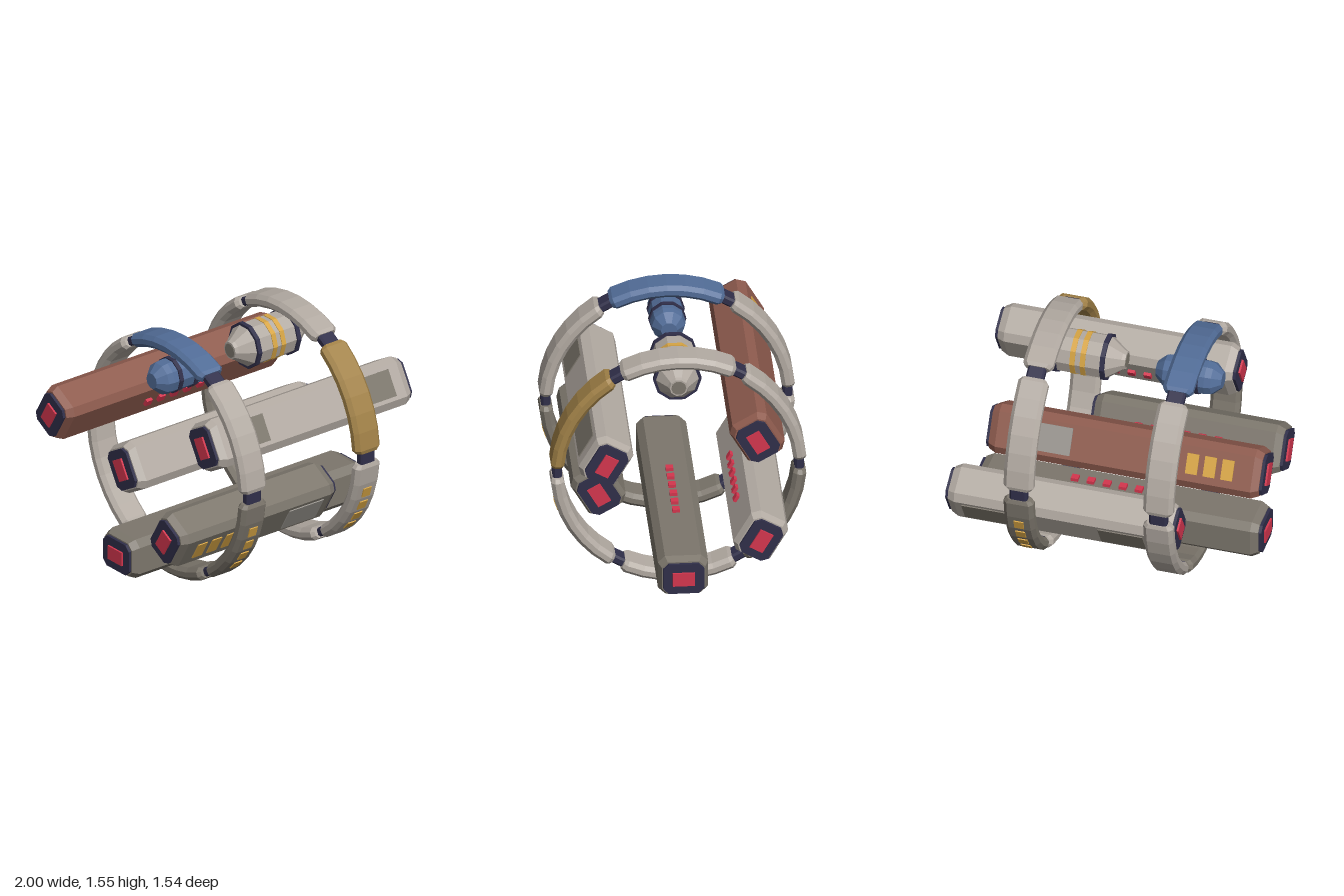
import * as THREE from 'three';

const mat = (name, color) => Object.assign(new THREE.MeshStandardMaterial({ color }), { name });
const M = {
  light: mat('pale hull', 0xb2aaa2),
  dark: mat('dark hull', 0x7c766c),
  rust: mat('rust hull', 0x8e5b4e),
  blue: mat('blue hull', 0x526d98),
  ochre: mat('ochre hull', 0xa28248),
  gold: mat('gold light', 0xd6a444),
  red: mat('red light', 0xd4364e),
  navy: mat('navy joint', 0x302f4a),
  panel: mat('grey panel', 0x98948e),
};
const CY = 0.785; // height of the ring axis
const rad = THREE.MathUtils.degToRad;

// chamfered rectangle, counter-clockwise, half sizes h and w
const octagon = (h, w, c) => [
  [h, c - w], [h, w - c], [h - c, w], [c - h, w],
  [-h, w - c], [-h, c - w], [c - h, -w], [h - c, -w],
];

// skin between equal cross-sections, with flat facets and closed ends
function loft(sections) {
  const n = sections[0].length, pos = [];
  const tri = (...pts) => pts.forEach((p) => pos.push(...p));
  for (let s = 0; s < sections.length - 1; s++) {
    const a = sections[s], b = sections[s + 1];
    for (let i = 0; i < n; i++) {
      const j = (i + 1) % n;
      tri(a[i], a[j], b[j]);
      tri(a[i], b[j], b[i]);
    }
  }
  const first = sections[0], last = sections[sections.length - 1];
  for (let i = 1; i < n - 1; i++) {
    tri(first[0], first[i + 1], first[i]);
    tri(last[0], last[i], last[i + 1]);
  }
  const g = new THREE.BufferGeometry();
  g.setAttribute('position', new THREE.Float32BufferAttribute(pos, 3));
  g.computeVertexNormals();
  return g;
}

function add(parent, name, geometry, material, x = 0, y = 0, z = 0) {
  const m = new THREE.Mesh(geometry, material);
  m.name = name;
  m.position.set(x, y, z);
  parent.add(m);
  return m;
}
const box = (parent, name, material, size, pos) =>
  add(parent, name, new THREE.BoxGeometry(...size), material, ...pos);

// group at an angle around the axis, with local y pointing outward
function radialGroup(parent, name, deg, radius) {
  const g = new THREE.Group(), t = rad(deg);
  g.name = name;
  g.position.set(0, CY + radius * Math.sin(t), radius * Math.cos(t));
  g.rotation.x = Math.PI / 2 - t;
  parent.add(g);
  return g;
}

// curved ring segment with tapered ends
function segmentGeometry(deg) {
  const half = 27.2, inner = 25.4, stations = [[-half, 0.8]];
  for (let i = 0; i <= 6; i++) stations.push([-inner + (i * inner) / 3, 1]);
  stations.push([half, 0.8]);
  return loft(stations.map(([a, s]) => {
    const t = rad(deg + a);
    return octagon(0.04 * s, 0.093 * s, 0.024 * s).map(([r, x]) =>
      [x, (0.73 + r) * Math.sin(t), (0.73 + r) * Math.cos(t)]);
  }));
}

function ring(parent, name, x, colours, lit) {
  const g = new THREE.Group();
  g.name = name;
  g.position.x = x;
  parent.add(g);
  for (let deg = -90; deg < 270; deg += 60) {
    add(g, 'ringSegment', segmentGeometry(deg), colours[deg] || M.light, 0, CY, 0);
    // joint in the gap after the segment
    const joint = radialGroup(g, 'ringJoint', deg + 30, 0.727);
    const ends = [-0.085, 0.085].map((z) =>
      octagon(0.055, 0.028, 0.012).map(([px, py]) => [px, py, z]));
    add(joint, 'jointBar', loft(ends), M.navy);
    // row of lights along the outer face
    if (lit.includes(deg)) for (const off of [-12, -4, 4, 12]) {
      const spot = radialGroup(g, 'ringLight', deg + off, 0.77);
      box(spot, 'lightPlate', M.gold, [0.06, 0.008, 0.066], [0, 0.001, 0]);
    }
  }
}

// long octagonal module from x0 to x1
function longModule(parent, name, { deg, x0, x1, hull, panels = [], panelMat = M.dark, windows = [] }) {
  const g = radialGroup(parent, name, deg, 0.535);
  const section = (x, inset) =>
    octagon(0.128 - inset, 0.151 - inset, 0.042 - inset * 0.3).map(([y, z]) => [x, y, z]);
  add(g, 'hull', loft([
    section(x0 + 0.03, 0.02), section(x0 + 0.075, 0), section(x1 - 0.075, 0), section(x1 - 0.03, 0.02),
  ]), hull);
  for (const [end, s] of [[x0, 1], [x1, -1]]) {
    const xs = [end + s * 0.012, end + s * 0.035].sort((a, b) => a - b);
    add(g, 'endCap', loft(xs.map((x) => section(x, 0.028))), M.navy);
    box(g, 'endLight', M.red, [0.024, 0.088, 0.134], [end + s * 0.012, 0, 0]);
  }
  // plates on the outer face
  for (const [a, b] of panels)
    box(g, 'hullPanel', panelMat, [b - a, 0.009, 0.17], [(a + b) / 2, 0.13, 0]);
  for (const x of windows)
    box(g, 'goldWindow', M.gold, [0.073, 0.009, 0.125], [x, 0.13, 0]);
  // small lights on the inner face
  const mid = (x0 + x1) / 2;
  for (let i = -2; i <= 3; i++)
    box(g, 'innerLight', M.red, [0.045, 0.025, 0.045], [mid + i * 0.1, -0.136, 0]);
}

// faceted solid of revolution about x
function turned(profile, sides = 10) {
  const lathe = new THREE.LatheGeometry(profile.map(([x, r]) => new THREE.Vector2(r, x)), sides);
  const g = lathe.rotateZ(-Math.PI / 2).toNonIndexed();
  g.computeVertexNormals();
  return g;
}
const band = (x, r, w) => turned([[x - w, 0], [x - w, r], [x + w, r], [x + w, 0]]);

function capsules(parent) {
  const cargo = new THREE.Group();
  cargo.name = 'cargoCapsule';
  cargo.position.set(0.295, 1.35, 0);
  parent.add(cargo);
  add(cargo, 'capsuleHull', turned([
    [-0.27, 0], [-0.27, 0.055], [-0.25, 0.065], [-0.16, 0.132], [-0.13, 0.136],
    [0.13, 0.136], [0.16, 0.132], [0.25, 0.065], [0.27, 0.055], [0.27, 0],
  ]), M.light);
  for (const s of [-1, 1]) {
    add(cargo, 'capsuleCollar', band(s * 0.15, 0.146, 0.014), M.navy);
    add(cargo, 'nosePlate', band(s * 0.27, 0.045, 0.003), M.dark);
  }
  for (const x of [-0.028, 0.036]) add(cargo, 'goldStripe', band(x, 0.14, 0.016), M.gold);

  const pod = new THREE.Group();
  pod.name = 'bluePod';
  pod.position.set(-0.37, 1.33, 0);
  parent.add(pod);
  add(pod, 'podHull', turned([
    [-0.205, 0], [-0.205, 0.05], [-0.15, 0.1], [-0.11, 0.106],
    [0.11, 0.106], [0.15, 0.1], [0.205, 0.05], [0.205, 0],
  ]), M.blue);
  for (const s of [-1, 1]) add(pod, 'podCollar', band(s * 0.06, 0.114, 0.014), M.navy);
}

export function createModel() {
  const model = new THREE.Group();
  model.name = 'ringStation';

  // two rings, angles measured from the front upward
  ring(model, 'rightRing', -0.385, { 90: M.blue, [-30]: M.dark, [-90]: M.dark }, [-30, -90]);
  ring(model, 'leftRing', 0.487, { 30: M.ochre, 210: M.dark }, [-30, 210]);

  longModule(model, 'upperFrontModule', {
    deg: 30, x0: -0.565, x1: 0.96, hull: M.light, panels: [[-0.37, -0.155], [0.45, 0.81]],
  });
  longModule(model, 'lowerFrontModule', {
    deg: -30, x0: -0.86, x1: 0.375, hull: M.dark, panels: [[-0.01, 0.25]], panelMat: M.panel,
    windows: [-0.665, -0.555, -0.445],
  });
  longModule(model, 'bottomModule', {
    deg: -90, x0: -0.86, x1: 0.96, hull: M.dark, panels: [[-0.64, -0.57], [0.45, 0.78]],
  });
  longModule(model, 'lowerBackModule', {
    deg: 210, x0: -0.45, x1: 1, hull: M.light, panels: [[-0.25, 0.03], [0.59, 0.88]],
  });
  longModule(model, 'upperBackModule', {
    deg: 150, x0: -1, x1: 0.745, hull: M.rust, panels: [[0.205, 0.42]], panelMat: M.panel,
    windows: [-0.77, -0.66, -0.55],
  });
  capsules(model);
  return model;
}
